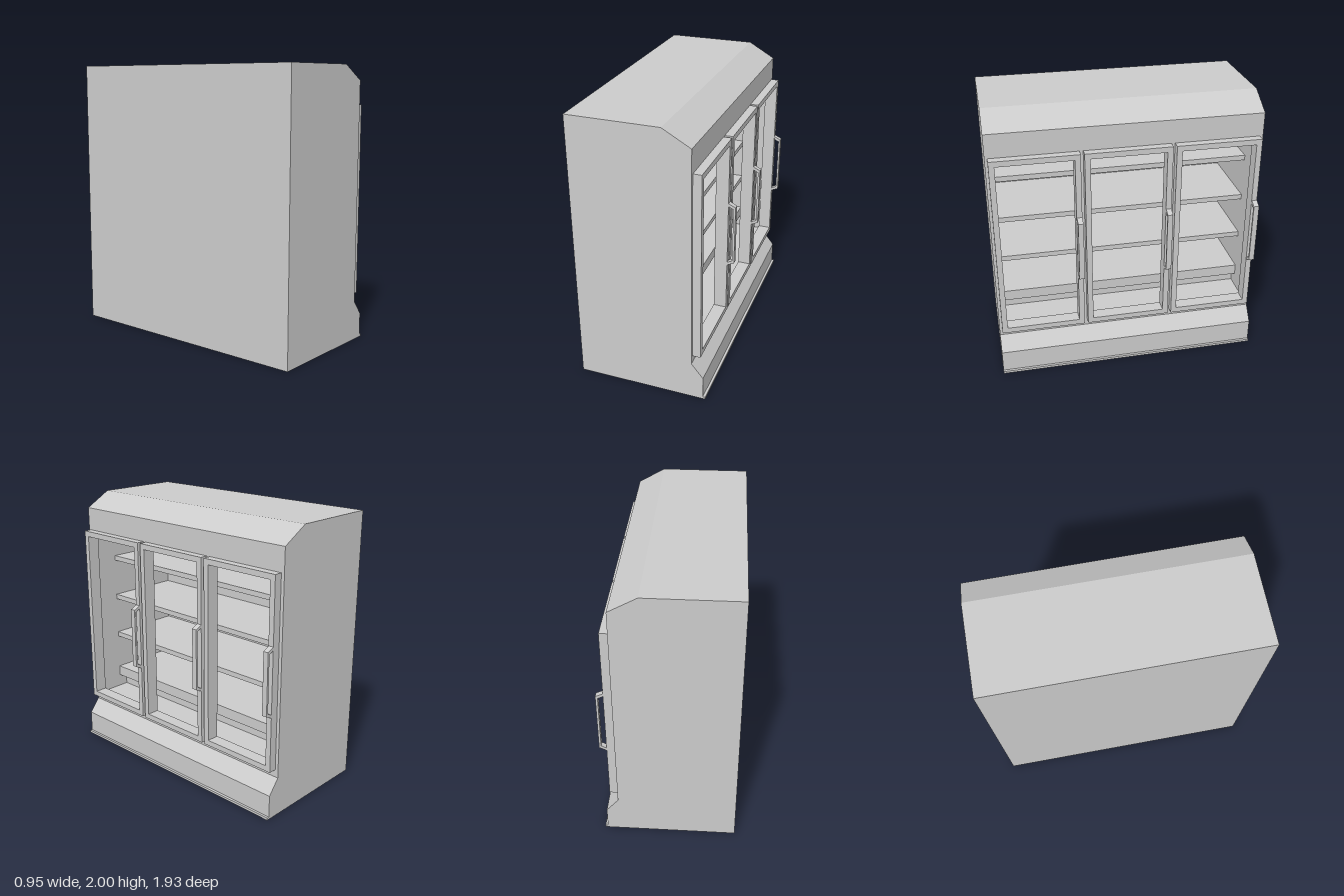
import * as THREE from 'three';

const material = new THREE.MeshStandardMaterial({ color: 0xcccccc, flatShading: true });

const HALF = 0.965;      // half of the cabinet length (z)
const INNER = 0.93;      // half of the cavity length
const BACK = -0.43, FRONT = 0.365;
const FLOOR = 0.345, CEILING = 1.72;
const DOORS = [0.64, 0.0025, -0.635]; // door centres along z
const DOOR_W = 0.612, DOOR_Y0 = 0.34, DOOR_Y1 = 1.72, RAIL = 0.04;

function add(group, name, geometry) {
  const mesh = new THREE.Mesh(geometry, material);
  mesh.name = name;
  group.add(mesh);
  return mesh;
}

const toShape = (points) => new THREE.Shape(points.map(([x, y]) => new THREE.Vector2(x, y)));

// Extrude an (x, y) profile from z0 to z1
function extrudeZ(points, z0, z1) {
  return new THREE.ExtrudeGeometry(toShape(points), { depth: z1 - z0, bevelEnabled: false })
    .translate(0, 0, z0);
}

// Extrude a (z, y) panel with holes from x0 to x1
function extrudeX(outline, holes, x0, x1) {
  const shape = toShape(outline);
  holes.forEach((h) => shape.holes.push(toShape(h)));
  return new THREE.ExtrudeGeometry(shape, { depth: x1 - x0, bevelEnabled: false })
    .rotateY(-Math.PI / 2).translate(x1, 0, 0);
}

function box(x0, x1, y0, y1, z0, z1) {
  return new THREE.BoxGeometry(x1 - x0, y1 - y0, z1 - z0)
    .translate((x0 + x1) / 2, (y0 + y1) / 2, (z0 + z1) / 2);
}

const rect = (a0, a1, b0, b1) => [[a0, b0], [a1, b0], [a1, b1], [a0, b1]];

export function createModel() {
  const model = new THREE.Group();
  model.name = 'displayFridge';

  // Cabinet: solid end walls with a C-shaped shell between them
  const lower = [[-0.48, 0], [0.468, 0], [0.468, 0.018], [0.45, 0.018], [0.45, 0.18], [FRONT, 0.285]];
  const upper = [[FRONT, 1.89], [0.17, 2], [-0.48, 2]];
  const cavity = [[FRONT, FLOOR], [BACK, FLOOR], [BACK, CEILING], [FRONT, CEILING]];
  add(model, 'cabinetShell', extrudeZ([...lower, ...cavity, ...upper], -INNER, INNER));
  for (const [name, z] of [['leftEndWall', INNER], ['rightEndWall', -HALF]]) {
    add(model, name, extrudeZ([...lower, ...upper], z, z + HALF - INNER));
  }

  // Front panel with an opening behind each door
  const openings = DOORS.map((z) => rect(
    z - DOOR_W / 2 + RAIL, z + DOOR_W / 2 - RAIL, DOOR_Y0 + RAIL, DOOR_Y1 - RAIL));
  add(model, 'frontPanel', extrudeX(rect(-INNER, INNER, FLOOR, CEILING), openings, 0.33, FRONT));

  // Shelves, each on a wedge bracket in the middle
  for (const y of [0.79, 1.115, 1.44]) {
    add(model, 'shelf', box(BACK, 0.15, y, y + 0.038, -INNER, INNER));
    add(model, 'shelfBracket', extrudeZ([[BACK, y - 0.1], [0.1, y], [BACK, y]], -0.02, 0.02));
  }

  // Bottom shelf on its recessed plinth
  add(model, 'bottomShelf', box(BACK, 0.15, 0.44, 0.52, -INNER, INNER));
  add(model, 'plinth', box(BACK, 0.08, FLOOR, 0.44, -INNER, INNER));

  // Doors with handles on the right stile
  const handleProfile = [
    [0.422, 0.745], [0.475, 0.77], [0.475, 1.22], [0.422, 1.245],
    [0.422, 1.222], [0.46, 1.203], [0.46, 0.787], [0.422, 0.768],
  ];
  DOORS.forEach((z, i) => {
    const door = new THREE.Group();
    door.name = 'door' + (i + 1);
    const z0 = z - DOOR_W / 2, z1 = z + DOOR_W / 2;
    add(door, 'doorFrame', extrudeX(rect(z0, z1, DOOR_Y0, DOOR_Y1), [openings[i]], FRONT, 0.424));
    add(door, 'handle', extrudeZ(handleProfile, z0, z0 + 0.038));
    model.add(door);
  });

  return model;
}
